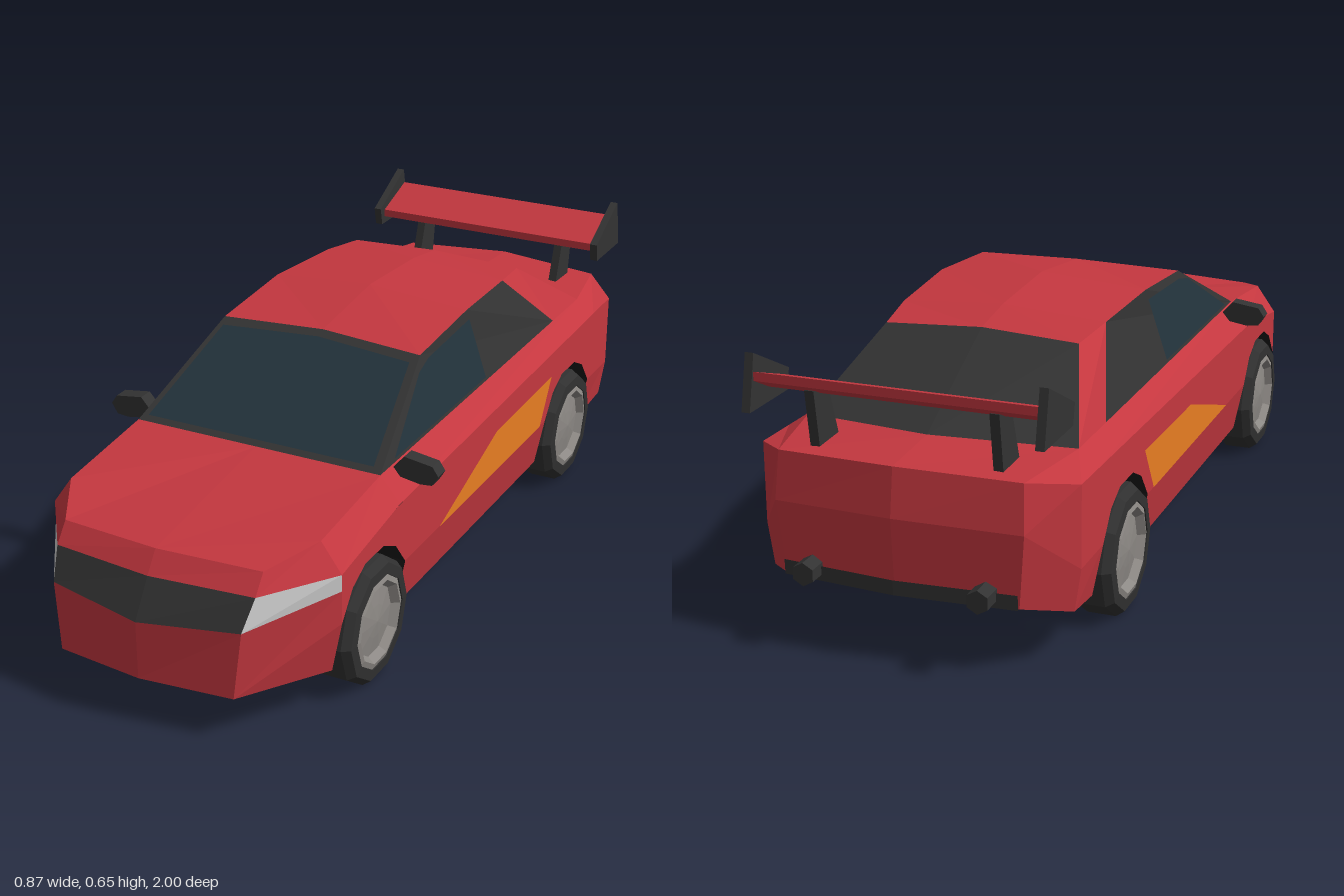
import * as THREE from 'three';

const mat = (color, double) => new THREE.MeshStandardMaterial({
  color, flatShading: true, side: double ? THREE.DoubleSide : THREE.FrontSide });
const red = mat(0xc4373f), dark = mat(0x333333), black = mat(0x1a1a1a, true), glass = mat(0x22323b),
  orange = mat(0xe87d22), lamp = mat(0xcccccc), tyreMat = mat(0x303030), rimMat = mat(0x8c8884);

// Mesh of convex faces, each given for the left half and mirrored to the right, turned outward
function panel(name, material, faces) {
  const pos = [], ref = new THREE.Vector3(0, 0.25, 0);
  for (const face of faces) for (const s of [1, -1]) {
    const p = face.map(([x, y, z]) => new THREE.Vector3(x * s, y, z));
    const mid = p.reduce((a, v) => a.add(v), new THREE.Vector3()).divideScalar(p.length).sub(ref);
    const n = new THREE.Vector3();
    p.forEach((v, i) => n.add(v.clone().cross(p[(i + 1) % p.length])));
    if (n.dot(mid) < 0) p.reverse();
    for (let i = 1; i < p.length - 1; i++) for (const v of [p[0], p[i], p[i + 1]]) pos.push(v.x, v.y, v.z);
  }
  const g = new THREE.BufferGeometry();
  g.setAttribute('position', new THREE.Float32BufferAttribute(pos, 3));
  g.computeVertexNormals();
  const m = new THREE.Mesh(g, material);
  m.name = name;
  return m;
}

// Quads between two rows of points
const strip = (a, b) => a.slice(1).map((p, i) => [a[i], p, b[i + 1], b[i]]);

// Extruded outline; side outlines are [z, y] and run along x
function plate(name, material, pts, x, width) {
  const g = new THREE.ExtrudeGeometry(new THREE.Shape(pts.map(p => new THREE.Vector2(...p))),
    { depth: width, bevelEnabled: false });
  g.rotateY(-Math.PI / 2).translate(x + width / 2, 0, 0);
  const m = new THREE.Mesh(g, material);
  m.name = name;
  return m;
}

export function createModel() {
  const car = new THREE.Group();
  car.name = 'car';
  const AX = [0.605, -0.545], R = 0.155, F = AX[0] + R, B = -0.84, W = 0.37, SILL = 0.345;

  // Shared corner points: c = centre, m = inner corner, s = side
  const hoodC = [0, 0.39, 0.91], hoodM = [0.25, 0.385, 0.885], hoodS = [0.32, 0.415, F];
  const topC = [0, 0.34, 0.945], topM = [0.25, 0.34, 0.92], topS = [W, 0.345, F];
  const lowC = [0, 0.255, 1], lowM = [0.237, 0.27, 0.96], lowS = [W, 0.305, F];
  const botC = [0, 0.115, 1], botM = [0.22, 0.11, 0.97], botS = [SILL, 0.1, F];
  const cowl = [0.32, 0.445, 0.48], cowlC = [0, 0.445, 0.48];
  const deckS = [0.32, 0.445, -0.72], deckC = [0, 0.46, -0.79];
  const tailC = [0, 0.45, -0.965], tailM = [0.28, 0.44, -0.935], tailS = [W, 0.415, B];
  const midC = [0, 0.34, -0.982], midM = [0.285, 0.33, -0.95], midS = [W, 0.225, B];
  const endC = [0, 0.165, -0.97], endM = [0.27, 0.16, -0.94], endS = [0.355, 0.125, B];
  const roof = [[0.265, 0.605, 0.165], [0.265, 0.625, -0.1], [0.252, 0.614, -0.35], [0.235, 0.6, -0.485]];
  const roofC = [[0, 0.615, 0.15], [0, 0.645, -0.1], [0, 0.632, -0.35], [0, 0.612, -0.48]];
  const shoulder = z => z > 0.48 ? 0.345 + 0.04 * (F - z) / (F - 0.48) : 0.385 + 0.03 * (0.48 - z) / (0.48 - B);

  // Side panels above the wheel arches
  const arch = c => [[R, 0.225], [0.105, 0.288], [0.045, 0.318], [-0.045, 0.318], [-0.105, 0.288], [-R, 0.225]]
    .map(([z, y]) => [W, y, c + z]);
  const lower = [...arch(AX[0]), ...arch(AX[1]), midS];
  const upper = lower.map(([x, , z]) => [x, shoulder(z), z]);
  const r1 = AX[0] - R, r2 = AX[1] + R, r3 = AX[1] - R;
  car.add(panel('bodySides', red, [
    ...strip(lower, upper),
    [[W, 0.225, r1], [W, 0.225, r2], [SILL, 0.1, r2], [SILL, 0.1, r1]],
    [[W, 0.225, r3], midS, endS, [SILL, 0.1, r3]],
    [hoodS, cowl, [W, 0.385, 0.48], topS],
    [cowl, deckS, [W, shoulder(-0.72), -0.72], [W, 0.385, 0.48]],
    [deckS, tailM, tailS, [W, shoulder(-0.72), -0.72]],
  ]));

  // Hood, nose and front bumper
  car.add(panel('hood', red, [[cowlC, cowl, hoodS, hoodM, hoodC]]));
  car.add(panel('frontBumper', red, [
    [hoodC, hoodM, topM, topC], [hoodM, hoodS, topS, topM],
    [lowC, lowM, botM, botC], [lowM, lowS, [W, 0.225, F], botS, botM],
  ]));
  car.add(panel('grille', dark, [[topC, topM, lowM, lowC]]));
  car.add(panel('headlights', lamp, [[topM, topS, lowS, lowM]]));

  // Boot lid and rear bumper
  car.add(panel('bootLid', red, [[deckC, deckS, tailM, tailC]]));
  car.add(panel('rearBumper', red, [
    [tailC, tailM, midM, midC], [midC, midM, endM, endC],
    [tailM, tailS, midS, midM], [midM, midS, endS, endM],
  ]));
  car.add(panel('rearValance', dark, [[[0, 0.2, -0.98], [0.27, 0.195, -0.95], [0.27, 0.16, -0.948], [0, 0.165, -0.978]]]));

  // Roof, rear pillars and windows
  car.add(panel('roof', red, strip(roof, roofC)));
  const sillBack = [0.32, 0.445, -0.545];
  car.add(panel('rearPillars', red, [[roof[2], roof[3], deckS, sillBack]]));
  car.add(panel('windowFrames', dark, [
    [cowl, roof[0], roof[1], roof[2], sillBack],
    [cowlC, cowl, roof[0], roofC[0]],
  ]));
  car.add(panel('rearWindow', dark, [[roofC[3], roof[3], deckS, deckC]]));
  const onSide = ([z, y]) => [0.325 - (y - 0.445) * 0.335, y, z];
  const onScreen = ([x, y]) => [x, y + 0.004, 0.485 - (y - 0.445) * 1.97];
  car.add(panel('sideGlass', glass, [[[0.41, 0.456], [0.2, 0.578], [0.14, 0.592], [-0.1, 0.602], [-0.1, 0.456]].map(onSide)]));
  car.add(panel('windshield', glass, [[[0, 0.453], [0.298, 0.453], [0.252, 0.592], [0, 0.602]].map(onScreen)]));

  // Side stripe
  car.add(panel('sideStripe', orange, [
    [[0.27, 0.227], [-0.06, 0.335], [-0.42, 0.342], [-0.35, 0.227]].map(([z, y]) => [W + 0.002, y, z])]));

  // Floor, narrowed between the wheels
  const IN = 0.26;
  const slab = (x, z0, z1) => [[0, 0.1, z0], [x, 0.1, z0], [x, 0.1, z1], [0, 0.1, z1]];
  car.add(panel('floor', black, [
    [botC, botM, botS, [0, 0.1, F]], slab(IN, F, r1), slab(SILL, r1, r2), slab(IN, r2, r3),
    [[0, 0.1, r3], [SILL, 0.1, r3], endS, [0, 0.125, B]], [[0, 0.125, B], endS, endM, endC],
  ]));

  // Wheel wells
  const wells = [];
  for (const c of AX) {
    const outer = [[SILL, 0.1, c + R], ...arch(c), [SILL, 0.1, c - R]];
    const inner = outer.map(([, y, z]) => [IN, y, z]);
    wells.push(...strip(outer, inner), ...strip(inner, inner.map(([x, , z]) => [x, 0.1, z])).slice(1, -1));
  }
  car.add(panel('wheelWells', black, wells));

  // Wheels
  const lathe = pts => new THREE.LatheGeometry(pts.map(p => new THREE.Vector2(...p)), 10);
  const tyre = lathe([[0, -0.05], [0.135, -0.05], [0.152, -0.035], [0.152, 0.032], [0.138, 0.051], [0.112, 0.053], [0.108, 0.03]]);
  const rim = lathe([[0.112, 0.05], [0.098, 0.054], [0.085, 0.036], [0.04, 0.042], [0, 0.046]]);
  for (const s of [1, -1]) for (const z of AX) {
    const wheel = new THREE.Group();
    wheel.name = (s > 0 ? 'left' : 'right') + (z > 0 ? 'Front' : 'Rear') + 'Wheel';
    const t = new THREE.Mesh(tyre, tyreMat), r = new THREE.Mesh(rim, rimMat);
    t.name = 'tyre';
    r.name = 'rim';
    wheel.add(t, r);
    wheel.position.set(s * 0.332, 0.15, z);
    wheel.rotation.z = -s * Math.PI / 2;
    car.add(wheel);
  }

  // Rear wing
  car.add(plate('wingBlade', red, [[-0.825, 0.55], [-0.825, 0.57], [-0.955, 0.615], [-0.955, 0.595], [-0.89, 0.562]], 0, 0.65));
  for (const s of [1, -1]) {
    const side = s > 0 ? 'left' : 'right';
    car.add(plate(side + 'WingEndPlate', dark, [[-0.8, 0.578], [-0.95, 0.655], [-0.977, 0.53], [-0.81, 0.53]], s * 0.33, 0.02));
    car.add(plate(side + 'WingStrut', dark, [[-0.81, 0.44], [-0.85, 0.56], [-0.92, 0.575], [-0.9, 0.44]], s * 0.21, 0.022));

    // Exhaust
    const pipe = new THREE.Mesh(new THREE.CylinderGeometry(0.027, 0.027, 0.08, 6).rotateX(Math.PI / 2), dark);
    pipe.name = side + 'Exhaust';
    pipe.position.set(s * 0.2, 0.19, -0.96);
    car.add(pipe);

    // Door mirror
    const outline = [[0.31, 0.425], [0.39, 0.412], [0.42, 0.415], [0.435, 0.44], [0.42, 0.462], [0.35, 0.472], [0.335, 0.455]];
    const g = new THREE.ExtrudeGeometry(new THREE.Shape(outline.map(([x, y]) => new THREE.Vector2(s * x, y))),
      { depth: 0.038, bevelEnabled: false });
    const mirror = new THREE.Mesh(g, dark);
    mirror.name = side + 'Mirror';
    mirror.position.z = 0.383;
    car.add(mirror);
  }
  return car;
}
